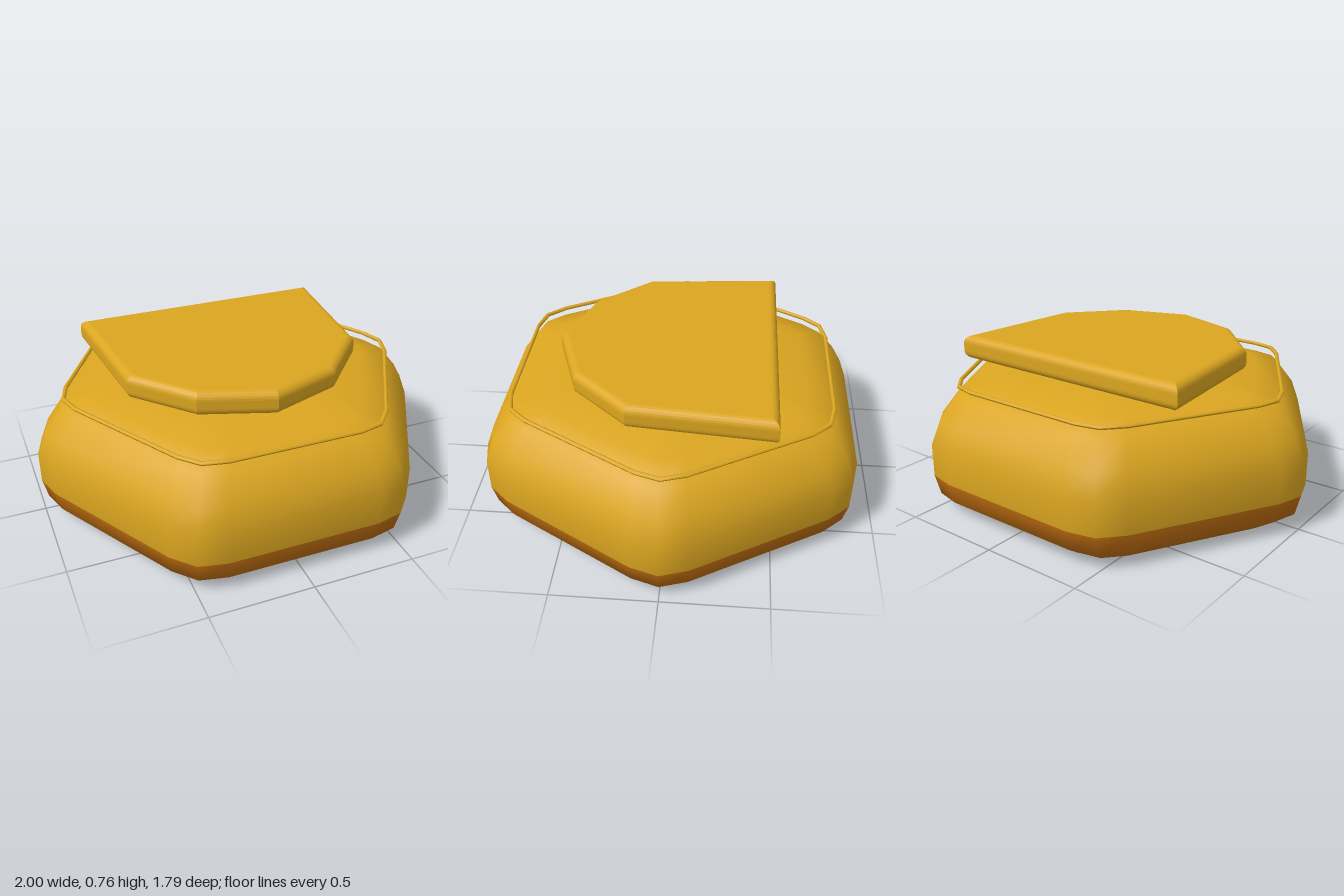
import * as THREE from 'three';

// Hexagon outline with each corner softened by three points
const outline = [];
for (let i = 0; i < 6; i++) {
  for (const [offset, radius] of [[-7.8, 0.968], [0, 1], [7.8, 0.968]]) {
    const a = THREE.MathUtils.degToRad(i * 60 + offset);
    outline.push([Math.cos(a) * radius, Math.sin(a) * radius]);
  }
}

// Sweeps a [scale, height] profile round the outline, listed bottom to top on the outside
function loft(profile) {
  const n = outline.length, positions = [], index = [];
  for (const [s, y] of profile) for (const [x, z] of outline) positions.push(x * s, y, z * s);
  for (let j = 0; j < profile.length - 1; j++) {
    for (let i = 0; i < n; i++) {
      const k = (i + 1) % n;
      const a = j * n + i, b = j * n + k, c = a + n, d = b + n;
      index.push(a, c, b, b, c, d);
    }
  }
  const g = new THREE.BufferGeometry();
  g.setAttribute('position', new THREE.Float32BufferAttribute(positions, 3));
  g.setIndex(index);
  g.computeVertexNormals();
  return g;
}

export function createModel() {
  const gold = new THREE.MeshStandardMaterial({ color: 0xdaa520 });
  gold.name = 'gold';
  const amber = new THREE.MeshStandardMaterial({ color: 0xb8690f });
  amber.name = 'amber brown';

  const model = new THREE.Group();
  model.name = 'hexagonalBox';
  const add = (name, geometry, material) => {
    const mesh = new THREE.Mesh(geometry, material);
    mesh.name = name;
    model.add(mesh);
  };

  // Body: brown base below, golden sides and shallow domed top above
  const body = loft([
    [0, 0], [0.87, 0], [0.975, 0.07], [1, 0.17],
    [1, 0.33], [0.955, 0.44], [0.86, 0.555], [0.72, 0.59],
    [0.57, 0.615], [0.29, 0.637], [0, 0.64],
  ]);
  const perBand = outline.length * 6;
  body.addGroup(0, perBand * 3, 0);
  body.addGroup(perBand * 3, perBand * 7, 1);
  add('body', body, [amber, gold]);

  // Thin rim standing just clear of the shoulder
  const rimProfile = [];
  for (let i = 0; i <= 8; i++) {
    const a = (i / 8) * Math.PI * 2;
    rimProfile.push([0.85 + Math.cos(a) * 0.011, 0.6 + Math.sin(a) * 0.01]);
  }
  add('rim', loft(rimProfile), gold);

  // Shield plate with rounded edges, its point to the front
  const right = [[0.603, -0.46], [0.545, 0.165], [0.32, 0.415]];
  const left = right.map(([x, z]) => [-x, z]).reverse();
  const shield = new THREE.Shape(
    [...right, [0, 0.525], ...left].map(([x, z]) => new THREE.Vector2(x, z)));
  const plate = new THREE.ExtrudeGeometry(shield, {
    depth: 0.04, bevelSize: 0.04, bevelThickness: 0.04, bevelSegments: 6,
  });
  plate.rotateX(Math.PI / 2);
  plate.translate(0, 0.72, 0);
  add('shieldPlate', plate, gold);

  return model;
}
